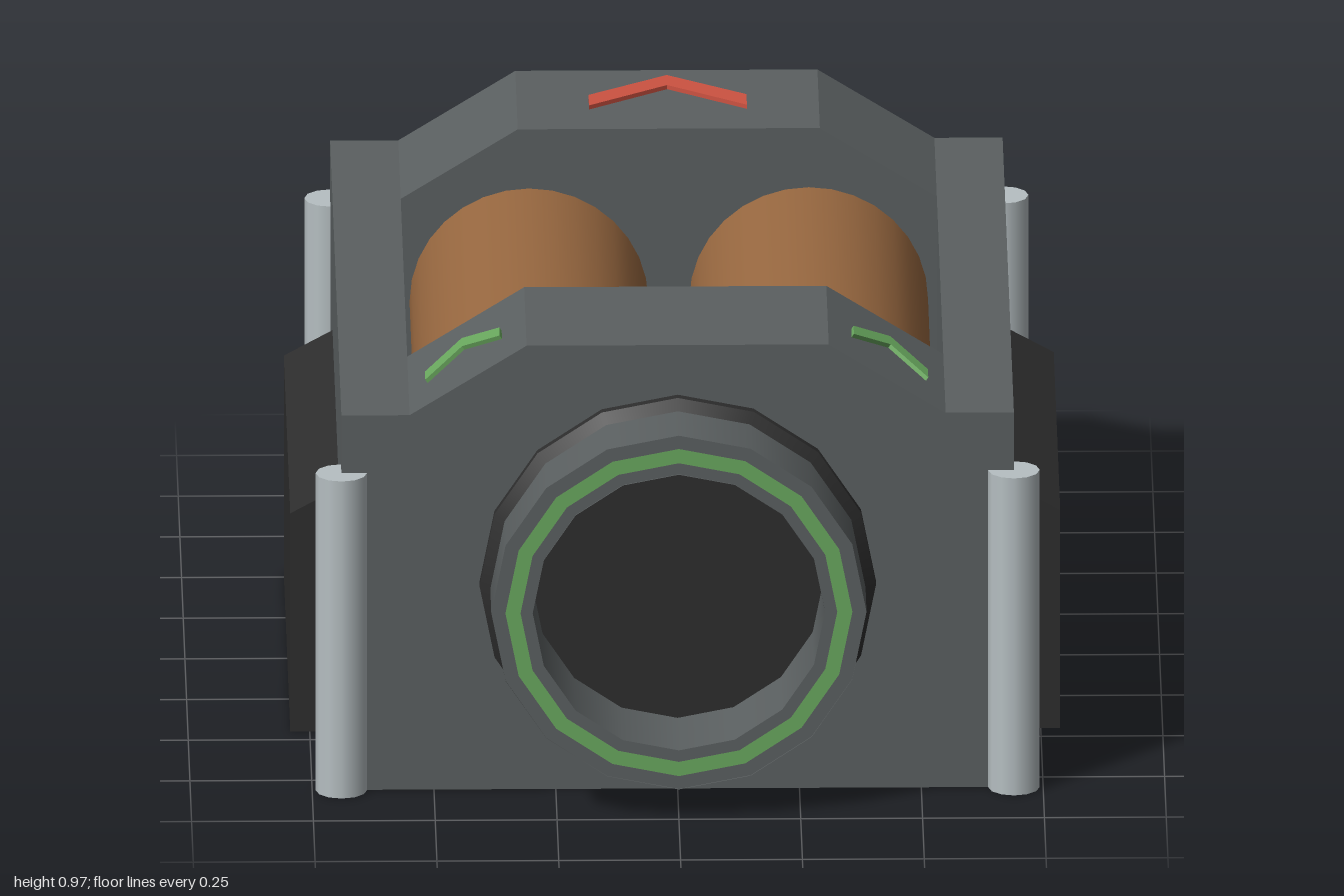
import * as THREE from 'three';

const mat = (name, color) => {
  const m = new THREE.MeshStandardMaterial({ color, side: THREE.DoubleSide });
  m.name = name;
  return m;
};

export function createModel() {
  const hull = mat('hull grey', 0x5b6061);
  const dark = mat('charcoal', 0x2d2d2d);
  const steel = mat('light steel', 0xb6bfc2);
  const copper = mat('copper brown', 0x986840);
  const green = mat('green', 0x69a85e);
  const red = mat('red', 0xcc5241);

  const model = new THREE.Group();
  const add = (name, geo, material, parent = model) => {
    const mesh = new THREE.Mesh(geo, material);
    mesh.name = name;
    parent.add(mesh);
    return mesh;
  };

  // Flat-faced sheet: a polyline in x,y swept from z0 to z1
  const sheet = (pts, z0, z1) => {
    const v = [];
    for (let i = 0; i < pts.length - 1; i++) {
      const [ax, ay] = pts[i], [bx, by] = pts[i + 1];
      v.push(ax, ay, z0, ax, ay, z1, bx, by, z1, ax, ay, z0, bx, by, z1, bx, by, z0);
    }
    const g = new THREE.BufferGeometry();
    g.setAttribute('position', new THREE.Float32BufferAttribute(v, 3));
    g.computeVertexNormals();
    return g;
  };
  const outline = (pts) => new THREE.Shape(pts.map(([x, y]) => new THREE.Vector2(x, y)));

  const BACK = -0.88, FRONT = 0.81, BAY_BACK = -0.52, BAY_FRONT = 0.45, PIPE_Y = 0.45;
  const roof = [[-0.55, 0.815], [-0.31, 0.965], [0.31, 0.965], [0.55, 0.815]];
  const floor = [[-0.55, 0.36], [-0.42, 0.26], [-0.12, 0.16], [0.12, 0.16], [0.42, 0.26], [0.55, 0.36]];

  // Hull sides, shoulders and bay side walls
  for (const s of [-1, 1]) {
    const side = [[s * 0.69, 0], [s * 0.69, 0.815], [s * 0.55, 0.815]];
    add('hullSide', sheet(s < 0 ? side : side.reverse(), BACK, FRONT), hull);
    add('bayWall', sheet([[s * 0.55, 0.815], [s * 0.55, 0.36]], BAY_BACK, BAY_FRONT), hull);
  }

  // Raised roof blocks and the bay's end walls
  add('frontRoof', sheet(roof, BAY_FRONT, FRONT), hull);
  add('backRoof', sheet(roof, BACK, BAY_BACK), hull);
  const bayEnd = outline([...floor, ...[...roof].reverse()]);
  add('bayBackWall', new THREE.ShapeGeometry(bayEnd).translate(0, 0, BAY_BACK), hull);
  add('bayFrontWall', new THREE.ShapeGeometry(bayEnd).rotateY(Math.PI).translate(0, 0, BAY_FRONT), hull);
  add('bayFloor', sheet(floor, BAY_BACK, BAY_FRONT), dark);

  // End walls pierced for the round ports
  const endWall = outline([[-0.69, 0], [0.69, 0], [0.69, 0.815], ...[...roof].reverse(), [-0.69, 0.815]]);
  const hole = [];
  for (let i = 0; i < 16; i++) {
    const a = -i * Math.PI / 8;
    hole.push(new THREE.Vector2(0.38 * Math.cos(a), PIPE_Y + 0.38 * Math.sin(a)));
  }
  endWall.holes.push(new THREE.Path(hole));
  add('frontWall', new THREE.ShapeGeometry(endWall).translate(0, 0, FRONT), hull);
  add('backWall', new THREE.ShapeGeometry(endWall).rotateY(Math.PI).translate(0, 0, BACK), hull);

  // Round ports: 16-sided pipe, coloured rim band and dark inner disc
  const band = (r0, z0, r1, z1) => new THREE.LatheGeometry(
    [new THREE.Vector2(r0, z0), new THREE.Vector2(r1, z1)], 16).rotateX(Math.PI / 2);
  const ring = (inner, outer, z) =>
    new THREE.RingGeometry(inner, outer, 16, 1, Math.PI / 2).translate(0, 0, z);
  const port = (name, base, rimColor) => {
    const g = new THREE.Group();
    g.name = name;
    g.position.y = PIPE_Y;
    add('pipeOutside', band(0.385, base, 0.385, 1), hull, g);
    add('pipeInside', band(0.3, 1, 0.3, base - 0.01), hull, g);
    add('pipeEnd', ring(0.3, 0.385, 0.997), hull, g);
    add('rimBand', ring(0.325, 0.356, 1), rimColor, g);
    add('innerDisc', new THREE.CircleGeometry(0.3, 16, Math.PI / 2).translate(0, 0, base - 0.01), dark, g);
    model.add(g);
    return g;
  };
  const frontPort = port('frontPort', FRONT, green);
  add('collar', band(0.407, FRONT, 0.407, 0.83), dark, frontPort);
  add('collarBevel', band(0.407, 0.83, 0.385, 0.85), dark, frontPort);
  port('backPort', -BACK, red).rotation.y = Math.PI;

  // Twin cylinders lying in the bay
  for (const s of [-1, 1]) {
    add('bayCylinder', new THREE.CylinderGeometry(0.245, 0.245, BAY_FRONT - BAY_BACK - 0.004, 32)
      .rotateX(Math.PI / 2).translate(s * 0.287, 0.592, (BAY_FRONT + BAY_BACK) / 2), copper);
  }

  // Side pods with sloped tops
  for (const s of [-1, 1]) {
    const pod = outline([[s * 0.68, 0], [s * 0.79, 0], [s * 0.79, 0.475], [s * 0.69, 0.53], [s * 0.68, 0.53]]);
    add('sidePod', new THREE.ExtrudeGeometry(pod, { depth: BAY_FRONT - BAY_BACK, bevelEnabled: false })
      .translate(0, 0, BAY_BACK), dark);
  }

  // Corner posts
  for (const x of [-0.69, 0.69]) for (const z of [BACK, FRONT]) {
    add('cornerPost', new THREE.CylinderGeometry(0.053, 0.053, 0.69, 12).translate(x, 0.345, z), steel);
  }

  // Chevron plates, tips toward the back
  const chevron = (halfWidth, sweep, armDepth, innerTip) => new THREE.ExtrudeGeometry(
    outline([[0, 0], [-halfWidth, -sweep], [-halfWidth, -sweep - armDepth], [0, -innerTip],
      [halfWidth, -sweep - armDepth], [halfWidth, -sweep]]),
    { depth: 0.009, bevelEnabled: false }).rotateX(-Math.PI / 2);
  add('backChevron', chevron(0.162, 0.12, 0.065, 0.062), red).position.set(0, 0.965, -0.825);
  for (const s of [-1, 1]) {
    const c = add('frontChevron', chevron(0.09, 0.07, 0.05, 0.05), green);
    c.position.set(s * 0.435, 0.887, 0.562);
    c.rotation.z = -s * Math.atan2(0.15, 0.24);
  }

  return model;
}
